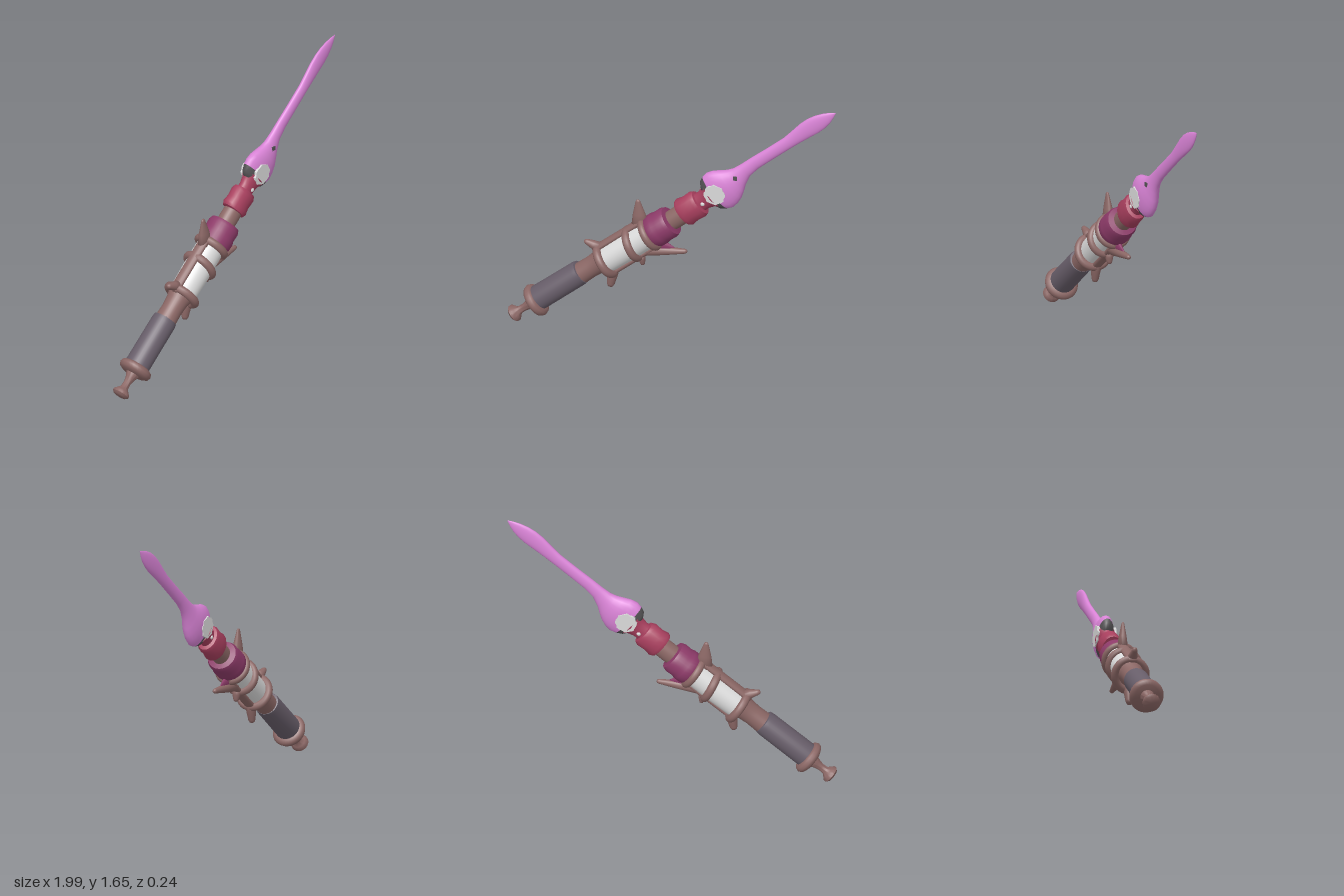
import * as THREE from 'three';
import { toCreasedNormals } from 'three/addons/utils/BufferGeometryUtils.js';

const mat = (name, color) => {
  const m = new THREE.MeshStandardMaterial({ color });
  m.name = name;
  return m;
};

// Local frame: y runs along the weapon from pommel to tip, v is the upper side (-x).
export function createModel() {
  const pink = mat('bladePink', 0xd983d6);
  const magenta = mat('collarMagenta', 0x8c3a68);
  const red = mat('socketRed', 0xa83f5e);
  const brown = mat('metalBrown', 0x8b6765);
  const grip = mat('gripGrey', 0x675d69);
  const white = mat('crystalWhite', 0xdadada);
  const dark = mat('darkGrey', 0x555355);

  const weapon = new THREE.Group();
  weapon.name = 'weapon';

  const add = (name, geo, material, x = 0, y = 0, z = 0) => {
    const m = new THREE.Mesh(geo, material);
    m.name = name;
    m.position.set(x, y, z);
    weapon.add(m);
    return m;
  };

  // Turned part from [radius, y] pairs
  const turned = (name, pts, material, x = 0, flat = 1, sides = 32) => {
    const geo = new THREE.LatheGeometry(pts.map(p => new THREE.Vector2(p[0], p[1])), sides);
    const m = add(name, toCreasedNormals(geo, 0.8), material, x);
    m.scale.z = flat;
    return m;
  };

  // Elliptical sections [y, upper v, lower v, half thickness] joined into a skin
  const loft = (name, rows, material, n = 24) => {
    const pos = [], idx = [];
    rows.forEach(([y, top, bot, hz], i) => {
      for (let j = 0; j < n; j++) {
        const a = j / n * Math.PI * 2;
        pos.push(-(top + bot) / 2 + (top - bot) / 2 * Math.cos(a), y, hz * Math.sin(a));
        if (i === rows.length - 1) continue;
        const p = i * n + j, q = i * n + (j + 1) % n;
        idx.push(p, p + n, q, q, p + n, q + n);
      }
    });
    const geo = new THREE.BufferGeometry();
    geo.setAttribute('position', new THREE.Float32BufferAttribute(pos, 3));
    geo.setIndex(idx);
    geo.computeVertexNormals();
    return add(name, geo, material);
  };

  // Tapered prong with a rounded tip, from [y, v] to [y, v]
  const prong = (name, from, to, r0, r1, depth, material = brown) => {
    const a = new THREE.Vector3(-from[1], from[0], 0);
    const b = new THREE.Vector3(-to[1], to[0], 0);
    const len = a.distanceTo(b);
    const pts = [[0, 0], [r0, 0], [r0 * 0.6 + r1 * 0.4, len * 0.45], [r1, len - r1],
      [r1 * 0.7, len - r1 * 0.3], [0, len]].map(p => new THREE.Vector2(p[0], p[1]));
    const m = add(name, new THREE.LatheGeometry(pts, 16), material, a.x, a.y);
    m.quaternion.setFromUnitVectors(new THREE.Vector3(0, 1, 0), b.sub(a).normalize());
    m.scale.z = depth / r0;
    return m;
  };

  // Pommel and flared stem
  turned('pommel', [[0, -0.018], [0.04, -0.016], [0.053, -0.004], [0.053, 0.008], [0.04, 0.022],
    [0.024, 0.04], [0.022, 0.075], [0.03, 0.11], [0.05, 0.15], [0.05, 0.17]], brown);
  // Hand guard
  turned('guard', [[0.03, 0.135], [0.075, 0.14], [0.097, 0.152], [0.104, 0.17], [0.097, 0.188],
    [0.08, 0.198], [0.03, 0.2]], brown);
  // Grip
  turned('grip', [[0.06, 0.185], [0.077, 0.19], [0.076, 0.5], [0.073, 0.525], [0.05, 0.53]], grip, -0.006);
  // Lower neck
  turned('lowerNeck', [[0.066, 0.5], [0.063, 0.6], [0.068, 0.66], [0.085, 0.72], [0.07, 0.74]], brown);
  // Pale barrel
  turned('barrel', [[0.05, 0.7], [0.083, 0.71], [0.087, 0.88], [0.085, 1.07]], white, 0.008);

  // Rings around the barrel: y, radius, tube, tilt
  [[0.705, 0.092, 0.026, -0.08], [0.915, 0.09, 0.025, -0.22], [1.05, 0.09, 0.024, -0.08]]
    .forEach(([y, r, tube, tilt]) => {
      const ring = add('barrelRing', new THREE.TorusGeometry(r, tube, 12, 36), brown, 0.01, y);
      ring.rotation.set(Math.PI / 2, tilt, 0);
    });

  // Bars joining the rings above and below
  for (const v of [0.083, -0.096]) {
    const bar = add('barrelBar', new THREE.CapsuleGeometry(0.02, 0.36, 6, 14), brown, -v, 0.88);
    bar.scale.z = 1.7;
  }

  // Prongs
  prong('rearUpperProng', [0.73, 0.07], [0.675, 0.165], 0.034, 0.017, 0.034);
  prong('rearLowerProng', [0.73, -0.06], [0.612, -0.168], 0.04, 0.024, 0.036);
  prong('middleKnob', [0.915, -0.09], [0.876, -0.158], 0.028, 0.016, 0.03);
  prong('frontUpperProng', [1.03, 0.06], [1.13, 0.21], 0.055, 0.015, 0.034);
  prong('frontLowerProng', [0.96, -0.09], [1.165, -0.23], 0.036, 0.015, 0.034);
  prong('prongFiller', [1.03, -0.08], [1.11, -0.175], 0.05, 0.014, 0.024, magenta);

  // Collar
  turned('collar', [[0.06, 1.06], [0.09, 1.06], [0.102, 1.08], [0.103, 1.12], [0.097, 1.145],
    [0.099, 1.19], [0.09, 1.213], [0.05, 1.22]], magenta, 0.012);
  // Upper neck
  turned('upperNeck', [[0.06, 1.19], [0.062, 1.25], [0.06, 1.34]], brown, 0.012, 0.9);
  // Socket sleeve and its stem
  turned('socketSleeve', [[0.055, 1.3], [0.084, 1.305], [0.094, 1.325], [0.086, 1.365], [0.09, 1.42],
    [0.08, 1.442], [0.05, 1.448]], red, 0.008, 0.76, 16);
  turned('socketStem', [[0.062, 1.43], [0.06, 1.47], [0.07, 1.51], [0.09, 1.54], [0, 1.545]], red, 0.005, 0.7, 20);

  // Dark cradle behind the blade root
  loft('bladeCradle', [[1.505, 0.001, -0.001, 0.001], [1.51, 0.07, -0.075, 0.035],
    [1.53, 0.104, -0.108, 0.046], [1.565, 0.122, -0.128, 0.054]], dark);
  // Blade
  loft('blade', [
    [1.565, 0.122, -0.128, 0.054], [1.6, 0.13, -0.139, 0.056], [1.64, 0.12, -0.132, 0.056],
    [1.68, 0.098, -0.115, 0.052], [1.72, 0.077, -0.088, 0.044], [1.76, 0.066, -0.057, 0.036],
    [1.82, 0.064, -0.026, 0.028], [1.9, 0.066, -0.014, 0.024], [2.02, 0.065, -0.012, 0.023],
    [2.15, 0.067, -0.011, 0.022], [2.22, 0.077, -0.012, 0.022], [2.3, 0.09, -0.015, 0.021],
    [2.36, 0.092, -0.018, 0.019], [2.41, 0.085, -0.014, 0.017], [2.46, 0.07, -0.003, 0.013],
    [2.5, 0.052, 0.014, 0.008], [2.532, 0.033, 0.031, 0.001]], pink);

  // Round crystal and small studs on both faces
  const outline = new THREE.Shape();
  for (let i = 0; i < 22; i++) {
    const a = i / 22 * Math.PI * 2, r = 0.064 + 0.004 * Math.sin(i * 2.3);
    outline[i ? 'lineTo' : 'moveTo'](r * Math.cos(a), r * Math.sin(a));
  }
  add('crystal', new THREE.ExtrudeGeometry(outline, { depth: 0.118, bevelEnabled: false }), white, -0.003, 1.576, -0.059);
  for (const s of [1, -1]) {
    const stud = add('stud', new THREE.SphereGeometry(0.013, 10, 8), white, 0.012, 1.468, s * 0.042);
    stud.scale.z = 0.6;
  }

  // Small square mark on the front of the blade
  const mark = add('bladeMark', new THREE.BoxGeometry(0.025, 0.025, 0.008), dark, -0.018, 1.745, 0.037);
  mark.rotation.z = 0.9;

  // Tilt the weapon so it rises to the right
  weapon.rotation.z = -THREE.MathUtils.degToRad(51.3);
  weapon.position.set(-0.96, 0.056, 0);
  const model = new THREE.Group();
  model.name = 'model';
  model.add(weapon);
  return model;
}
